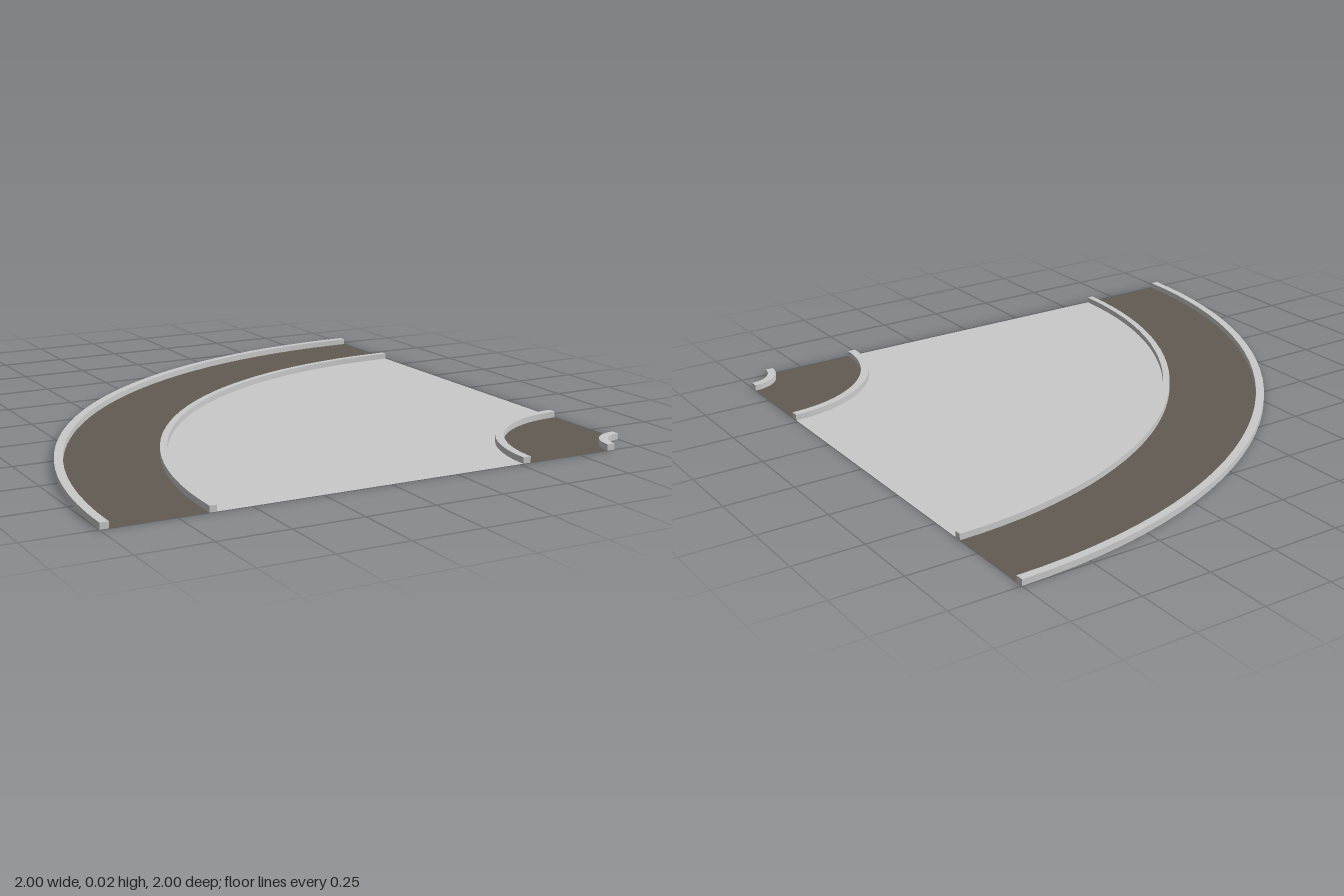
import * as THREE from 'three';

const SEGMENTS = 16; // facets per quarter turn
const CURB_HEIGHT = 0.022;

// Quarter ring between two radii, in the -x / +y quadrant of the shape plane
function quarterRing(inner, outer) {
  const shape = new THREE.Shape();
  shape.absarc(0, 0, outer, Math.PI / 2, Math.PI, false);
  shape.absarc(0, 0, inner, Math.PI, Math.PI / 2, true);
  shape.closePath();
  return shape;
}

export function createModel() {
  const concrete = new THREE.MeshStandardMaterial({ color: 0xcacaca, side: THREE.DoubleSide });
  concrete.name = 'lightConcrete';
  const asphalt = new THREE.MeshStandardMaterial({ color: 0x625b52, side: THREE.DoubleSide });
  asphalt.name = 'asphalt';

  const model = new THREE.Group();
  model.name = 'roadCorner';

  const add = (name, geometry, material) => {
    geometry.rotateX(-Math.PI / 2); // lay flat, extrusion pointing up
    const mesh = new THREE.Mesh(geometry, material);
    mesh.name = name;
    mesh.position.set(1, 0, 1); // all arcs share the corner as centre
    model.add(mesh);
  };
  const surface = (name, inner, outer, material) =>
    add(name, new THREE.ShapeGeometry(quarterRing(inner, outer), SEGMENTS), material);
  const curb = (name, inner, outer) =>
    add(name, new THREE.ExtrudeGeometry(quarterRing(inner, outer), {
      depth: CURB_HEIGHT, bevelEnabled: false, curveSegments: SEGMENTS,
    }), concrete);

  // Flat ground surfaces
  surface('innerLane', 0.13, 0.455, asphalt);
  surface('median', 0.485, 1.62, concrete);
  surface('outerLane', 1.645, 1.97, asphalt);

  // Raised curbs bordering both lanes
  curb('innerLaneInnerCurb', 0.1, 0.13);
  curb('innerLaneOuterCurb', 0.455, 0.485);
  curb('outerLaneInnerCurb', 1.62, 1.645);
  curb('outerLaneOuterCurb', 1.97, 2);

  return model;
}
